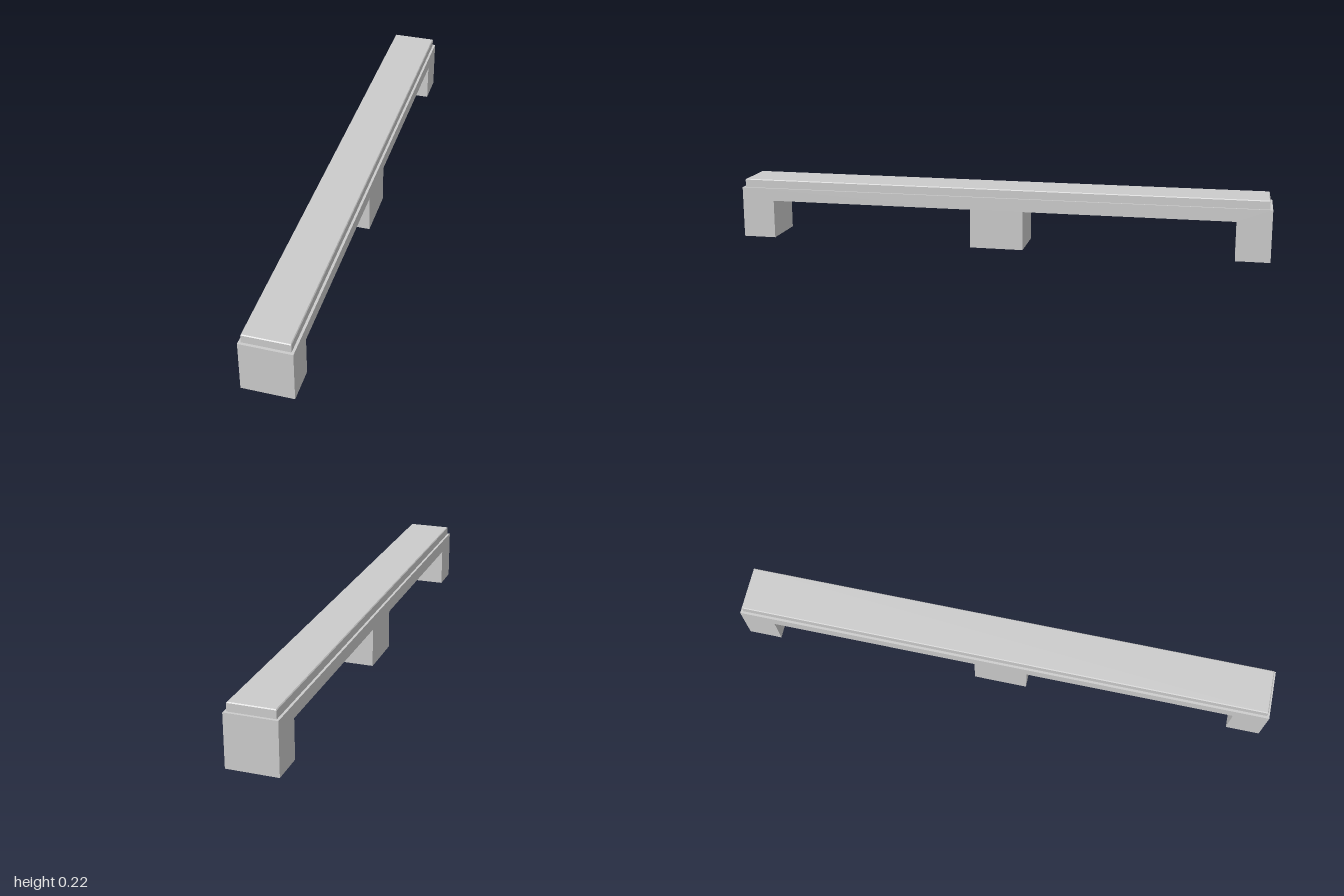
import * as THREE from 'three';

const WIDTH = 0.184, BODY_TOP = 0.193, TOP = 0.225;

// Beam with three feet, extruded across x; the feet are hollow and open below
function bodyGeometry() {
  const under = 0.145;
  const half = [[0.1, 0], [0.1, under], [0.875, under], [0.875, 0], [1, 0], [1, BODY_TOP]];
  const mirrored = half.map(([z, y]) => [-z, y]).reverse();
  const shape = new THREE.Shape([...half, ...mirrored].map(([z, y]) => new THREE.Vector2(z, y)));
  const geo = new THREE.ExtrudeGeometry(shape, { depth: WIDTH, bevelEnabled: false });
  geo.translate(0, 0, -WIDTH / 2).rotateY(-Math.PI / 2);

  // Drop the triangles lying on the ground
  const p = geo.attributes.position;
  const kept = [];
  for (let i = 0; i < p.count; i += 3) {
    const onGround = [0, 1, 2].every((k) => Math.abs(p.getY(i + k)) < 1e-5);
    if (!onGround) for (let k = 0; k < 3; k++) kept.push(p.getX(i + k), p.getY(i + k), p.getZ(i + k));
  }
  const shell = new THREE.BufferGeometry();
  shell.setAttribute('position', new THREE.Float32BufferAttribute(kept, 3));
  shell.computeVertexNormals();
  return shell;
}

// Slab with a fine chamfer round its upper edge
function capGeometry() {
  const w = 0.166, l = 1.98, h = TOP - BODY_TOP, c = 0.003;
  const box = new THREE.BoxGeometry(w, h, l, 1, 2, 1);
  const p = box.attributes.position;
  for (let i = 0; i < p.count; i++) {
    const y = p.getY(i);
    if (Math.abs(y) < 1e-6) p.setY(i, h / 2 - c);
    else if (y > 0) {
      p.setX(i, p.getX(i) - Math.sign(p.getX(i)) * c);
      p.setZ(i, p.getZ(i) - Math.sign(p.getZ(i)) * c);
    }
  }
  const geo = box.toNonIndexed();
  geo.computeVertexNormals();
  return geo.translate(0, BODY_TOP + h / 2, 0);
}

export function createModel() {
  const group = new THREE.Group();
  group.name = 'footedBeam';
  const material = new THREE.MeshStandardMaterial({
    color: 0xcccccc, flatShading: true, side: THREE.DoubleSide,
  });
  const parts = { body: bodyGeometry(), cap: capGeometry() };
  for (const [name, geometry] of Object.entries(parts)) {
    const mesh = new THREE.Mesh(geometry, material);
    mesh.name = name;
    group.add(mesh);
  }
  return group;
}
